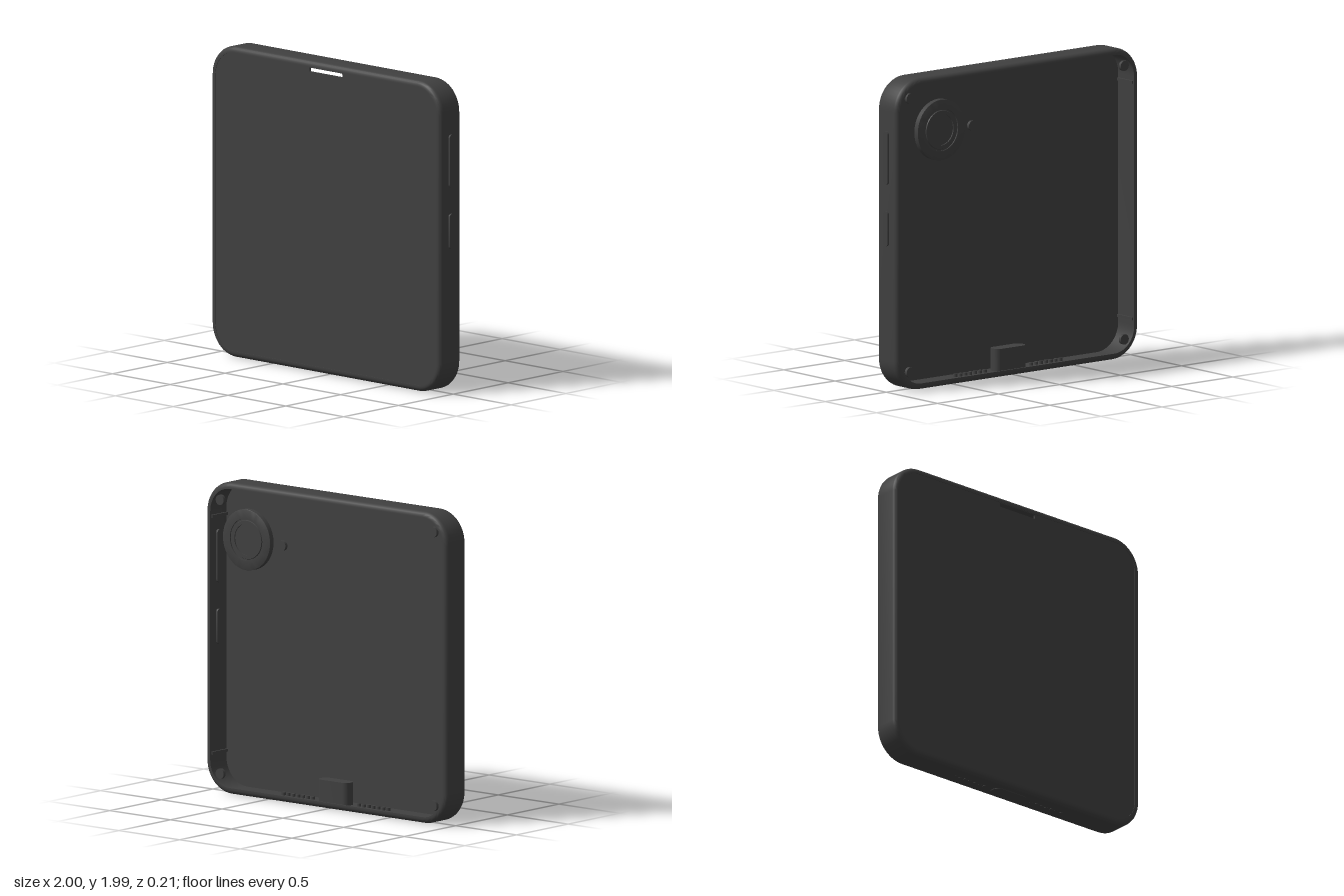
import * as THREE from 'three';
import { toCreasedNormals } from 'three/addons/utils/BufferGeometryUtils.js';

const CX = -0.0055, CY = 0.9945, HALF = 0.9935, RADIUS = 0.2;
const FRONT = 0.106, BACK = -0.087, MID = 0.0095, FLOOR = 0.087;

const graphite = new THREE.MeshStandardMaterial({ color: 0x404040 });
graphite.name = 'graphite';

function roundedRect(w, h, r, Type = THREE.Shape) {
  const s = new Type(), x = w / 2, y = h / 2;
  s.absarc(x - r, y - r, r, 0, Math.PI / 2);
  s.absarc(-x + r, y - r, r, Math.PI / 2, Math.PI);
  s.absarc(-x + r, -y + r, r, Math.PI, Math.PI * 1.5);
  s.absarc(x - r, -y + r, r, Math.PI * 1.5, Math.PI * 2);
  s.closePath();
  return s;
}

function extrude(shape, depth) {
  const g = new THREE.ExtrudeGeometry(shape, { depth, bevelEnabled: false, curveSegments: 12 });
  return toCreasedNormals(g, 0.6);
}

// Sweeps a closed [inset, z] profile around the rounded-square outline
function frameGeometry(profile) {
  const steps = 14, pos = [], idx = [];
  for (const [inset, z] of profile) {
    const c = HALF - RADIUS, r = RADIUS - inset;
    for (let k = 0; k < 4; k++) {
      const sx = k === 0 || k === 3 ? 1 : -1, sy = k < 2 ? 1 : -1;
      for (let i = 0; i <= steps; i++) {
        const a = (k + i / steps) * Math.PI / 2;
        pos.push(sx * c + r * Math.cos(a), sy * c + r * Math.sin(a), z);
      }
    }
  }
  const n = 4 * (steps + 1), m = profile.length;
  for (let p = 0; p < m; p++) {
    for (let i = 0; i < n; i++) {
      const q = (p + 1) % m, j = (i + 1) % n;
      const a = p * n + i, b = p * n + j, c = q * n + j, d = q * n + i;
      idx.push(a, d, b, b, d, c);
    }
  }
  const g = new THREE.BufferGeometry();
  g.setAttribute('position', new THREE.Float32BufferAttribute(pos, 3));
  g.setIndex(idx);
  return toCreasedNormals(g, 0.6);
}

export function createModel() {
  const model = new THREE.Group();
  model.name = 'phone';
  const add = (name, geometry, x, y, z, rx = 0, ry = 0) => {
    const mesh = new THREE.Mesh(geometry, graphite);
    mesh.name = name;
    mesh.position.set(x, y, z);
    mesh.rotation.set(rx, ry, 0);
    model.add(mesh);
    return mesh;
  };

  // Thin outer frame with rounded edges, a display shelf and an open, lipped back
  const lip = 0.04, wall = 0.025, f = 0.032, arc = 5, profile = [[lip, FRONT]];
  for (let i = 0; i <= arc; i++) {
    const a = i / arc * Math.PI / 2;
    profile.push([f - f * Math.sin(a), FRONT - f + f * Math.cos(a)]);
  }
  for (let i = 0; i <= arc; i++) {
    const a = i / arc * Math.PI / 2;
    profile.push([f - f * Math.cos(a), BACK + f - f * Math.sin(a)]);
  }
  profile.push([lip, BACK], [lip, BACK + 0.01], [wall, BACK + 0.022], [wall, FLOOR], [lip, FLOOR]);
  add('frame', frameGeometry(profile), CX, CY, 0);

  // Thin display panel with an open earpiece slot
  const size = 2 * (HALF - lip) + 0.002;
  const screen = roundedRect(size, size, RADIUS - lip);
  const slot = roundedRect(0.285, 0.026, 0.006, THREE.Path);
  screen.holes.push(new THREE.Path(slot.getPoints(4).map(p => p.add(new THREE.Vector2(0, 1.932 - CY)))));
  add('display', extrude(screen, 0.016), CX, CY, FLOOR - 0.0005);

  // Side buttons, reaching through the frame wall
  for (const [name, y, length] of [['volumeButton', 1.49, 0.34], ['powerButton', 1.04, 0.225]]) {
    add(name, extrude(roundedRect(0.045, length, 0.022), 0.05), 0.95, y, MID, 0, Math.PI / 2);
  }

  // Charging port, a pill-shaped housing standing in the bottom wall
  add('chargingPort', extrude(roundedRect(0.25, 0.09, 0.04), 0.172), CX, 0.17, MID, Math.PI / 2);

  // Speaker tubes either side of the port
  for (const side of [-1, 1]) {
    for (let i = 0; i < 7; i++) {
      add('speakerHole', new THREE.CylinderGeometry(0.013, 0.013, 0.046, 12),
        CX + side * (0.19 + i * 0.04), 0.022, MID);
    }
  }

  // Antenna ribs on the inner side walls
  for (const side of [-1, 1]) {
    for (const y of [0.24, 1.75]) {
      add('antennaRib', new THREE.BoxGeometry(0.02, 0.018, 0.15), CX + side * 0.965, y, 0.01);
    }
  }

  // Corner screws
  for (const sx of [-1, 1]) {
    for (const sy of [-1, 1]) {
      add('screw', new THREE.CylinderGeometry(0.033, 0.033, 0.02, 20),
        CX + sx * 0.877, CY + sy * 0.873, -0.076, Math.PI / 2);
    }
  }

  // Camera: raised ring with a stepped lens inside it
  const camera = [[0, 0], [0.194, 0], [0.194, 0.034], [0.19, 0.036], [0.135, 0.036],
    [0.135, 0.028], [0.125, 0.028], [0.122, 0.034], [0.1, 0.034], [0.1, 0.026], [0, 0.026]];
  const lens = new THREE.LatheGeometry(camera.map(p => new THREE.Vector2(...p)), 40);
  add('camera', toCreasedNormals(lens, 0.5), 0.635, 1.644, -0.07, -Math.PI / 2);

  // Flash
  add('flash', new THREE.CylinderGeometry(0.032, 0.032, 0.02, 20), 0.362, 1.635, -0.076, Math.PI / 2);

  return model;
}
